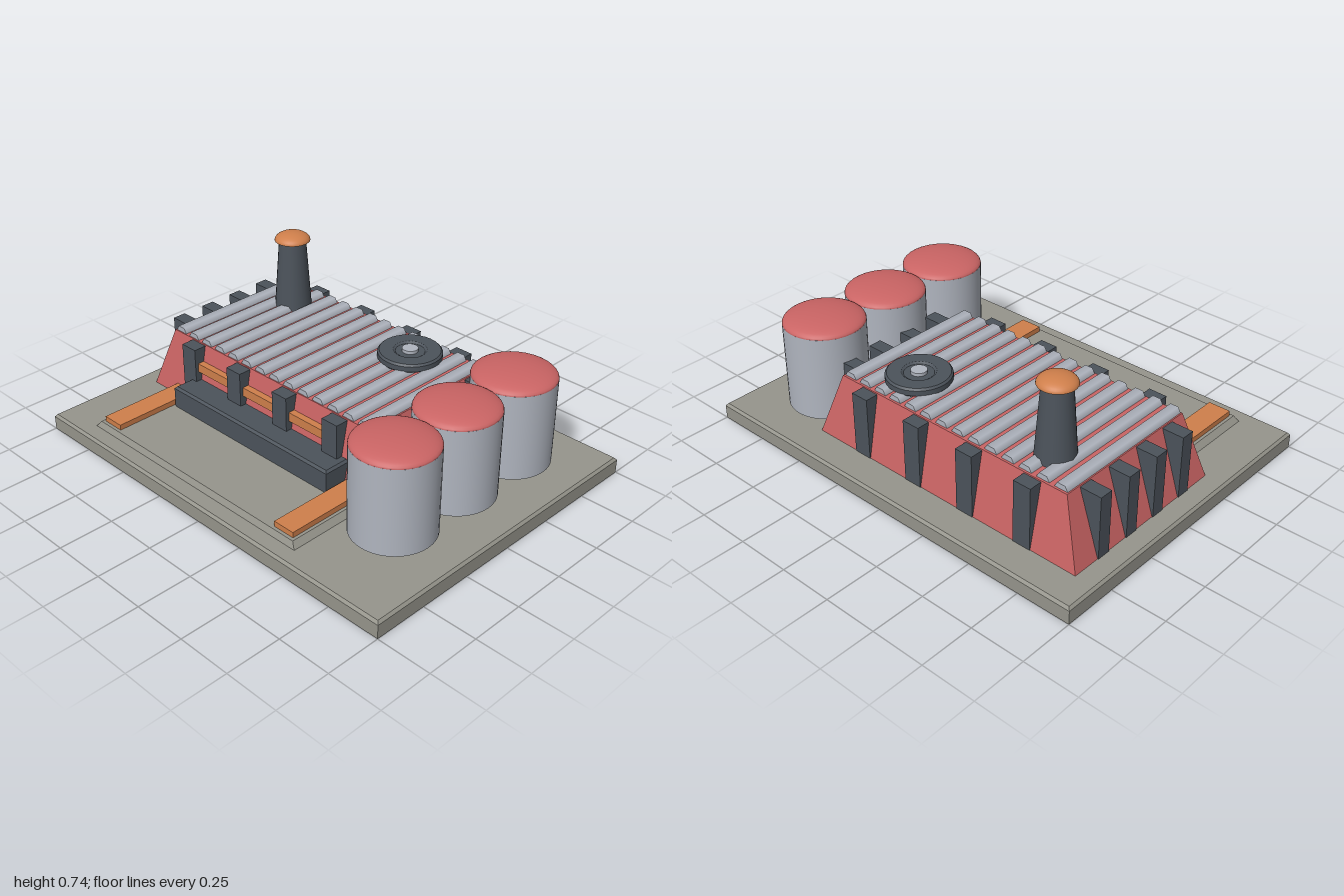
import * as THREE from 'three';

const mat = (name, color) => new THREE.MeshStandardMaterial({ name, color });

export function createModel() {
  const concrete = mat('concrete', 0x96958c);
  const red = mat('red wall', 0xca6464);
  const dark = mat('dark steel', 0x4c535b);
  const light = mat('light metal', 0xb0b5bf);
  const orange = mat('orange trim', 0xcf7f4b);
  const model = new THREE.Group();
  model.name = 'factory';

  const add = (name, geo, material, x = 0, y = 0, z = 0) => {
    const m = new THREE.Mesh(geo, material);
    m.name = name;
    m.position.set(x, y, z);
    model.add(m);
    return m;
  };

  // Box given by its limits, with the top face drawn in by ix and iz
  const block = (name, material, [x0, x1], [y0, y1], [z0, z1], ix = 0, iz = ix) => {
    const w = x1 - x0, h = y1 - y0, d = z1 - z0;
    const g = new THREE.BoxGeometry(w, h, d);
    const p = g.attributes.position;
    for (let i = 0; i < p.count; i++) {
      if (p.getY(i) > 0) {
        p.setX(i, p.getX(i) * (1 - 2 * ix / w));
        p.setZ(i, p.getZ(i) * (1 - 2 * iz / d));
      }
    }
    g.computeVertexNormals();
    return add(name, g, material, (x0 + x1) / 2, (y0 + y1) / 2, (z0 + z1) / 2);
  };

  // Shallow dome, closed underneath
  const dome = (name, material, r, h, x, y, z) => {
    const g = new THREE.SphereGeometry(r, 32, 10, 0, Math.PI * 2, 0, Math.PI / 2);
    g.scale(1, h / r, 1);
    add(name, g, material, x, y, z);
    const under = new THREE.CircleGeometry(r, 32).rotateX(Math.PI / 2);
    add(name + 'Underside', under, material, x, y, z);
  };

  // Ground slab with a bevelled rim, and the raised loading apron
  block('baseSlab', concrete, [-1, 1], [0, 0.063], [-0.75, 0.75]);
  block('baseBevel', concrete, [-1, 1], [0.063, 0.075], [-0.75, 0.75], 0.01);
  block('apron', concrete, [-0.79, 0.49], [0.07, 0.102], [-0.1, 0.675], 0.025, 0.015);

  // Main hall with sloping walls
  block('hall', red, [-0.905, 0.52], [0.07, 0.37], [-0.6, 0.245], 0.1, 0.06);

  // Upright buttresses on all four walls
  for (const x of [-0.637, -0.337, -0.047, 0.252]) {
    block('frontButtress', dark, [x - 0.043, x + 0.043], [0.07, 0.365], [0.15, 0.248]);
    block('backButtress', dark, [x - 0.043, x + 0.043], [0.07, 0.365], [-0.602, -0.5]);
  }
  for (const z of [-0.435, -0.263, -0.092, 0.08]) {
    block('rightButtress', dark, [-0.907, -0.75], [0.07, 0.365], [z - 0.032, z + 0.032]);
    block('leftButtress', dark, [0.37, 0.522], [0.07, 0.365], [z - 0.032, z + 0.032]);
  }

  // Corrugated roof ribs
  const ribGeo = new THREE.CylinderGeometry(0.038, 0.038, 0.71, 6);
  ribGeo.rotateY(Math.PI / 6).rotateX(Math.PI / 2);
  for (let i = 0; i < 14; i++) {
    add('roofRib', ribGeo, light, -0.767 + i * 0.0883, 0.36, -0.175);
  }

  // Front trim, loading dock and ramps
  block('frontTrim', orange, [-0.6, 0.215], [0.25, 0.292], [0.15, 0.232]);
  block('dock', dark, [-0.632, 0.332], [0.09, 0.195], [0.15, 0.345]);
  block('dockTop', dark, [-0.632, 0.332], [0.195, 0.205], [0.15, 0.345], 0.01);
  for (const x of [-0.698, 0.398]) {
    block('ramp', orange, [x - 0.053, x + 0.053], [0.095, 0.127], [0.18, 0.645]);
  }

  // Chimney
  add('chimney', new THREE.CylinderGeometry(0.062, 0.088, 0.36, 24), dark, -0.615, 0.53, -0.38);
  dome('chimneyCap', orange, 0.083, 0.038, -0.615, 0.7, -0.38);

  // Round roof vent with a raised rim and hub
  const ventProfile = [[0, 0.385], [0.138, 0.385], [0.144, 0.391], [0.144, 0.415],
    [0.136, 0.424], [0.075, 0.424], [0.065, 0.417], [0, 0.417]];
  const parts = [];
  for (let i = 0; i < ventProfile.length - 1; i++) {
    parts.push(new THREE.LatheGeometry(
      ventProfile.slice(i, i + 2).map(([r, y]) => new THREE.Vector2(r, y)), 32));
  }
  parts.forEach((g) => add('roofVent', g, dark, 0.145, 0, -0.36));
  add('ventHub', new THREE.CylinderGeometry(0.036, 0.036, 0.03, 20), light, 0.145, 0.417, -0.36);

  // Storage tanks
  for (const z of [-0.412, -0.05, 0.314]) {
    add('tank', new THREE.CylinderGeometry(0.183, 0.183, 0.398, 40), light, 0.672, 0.291, z);
    dome('tankDome', red, 0.183, 0.043, 0.672, 0.49, z);
  }
  return model;
}
